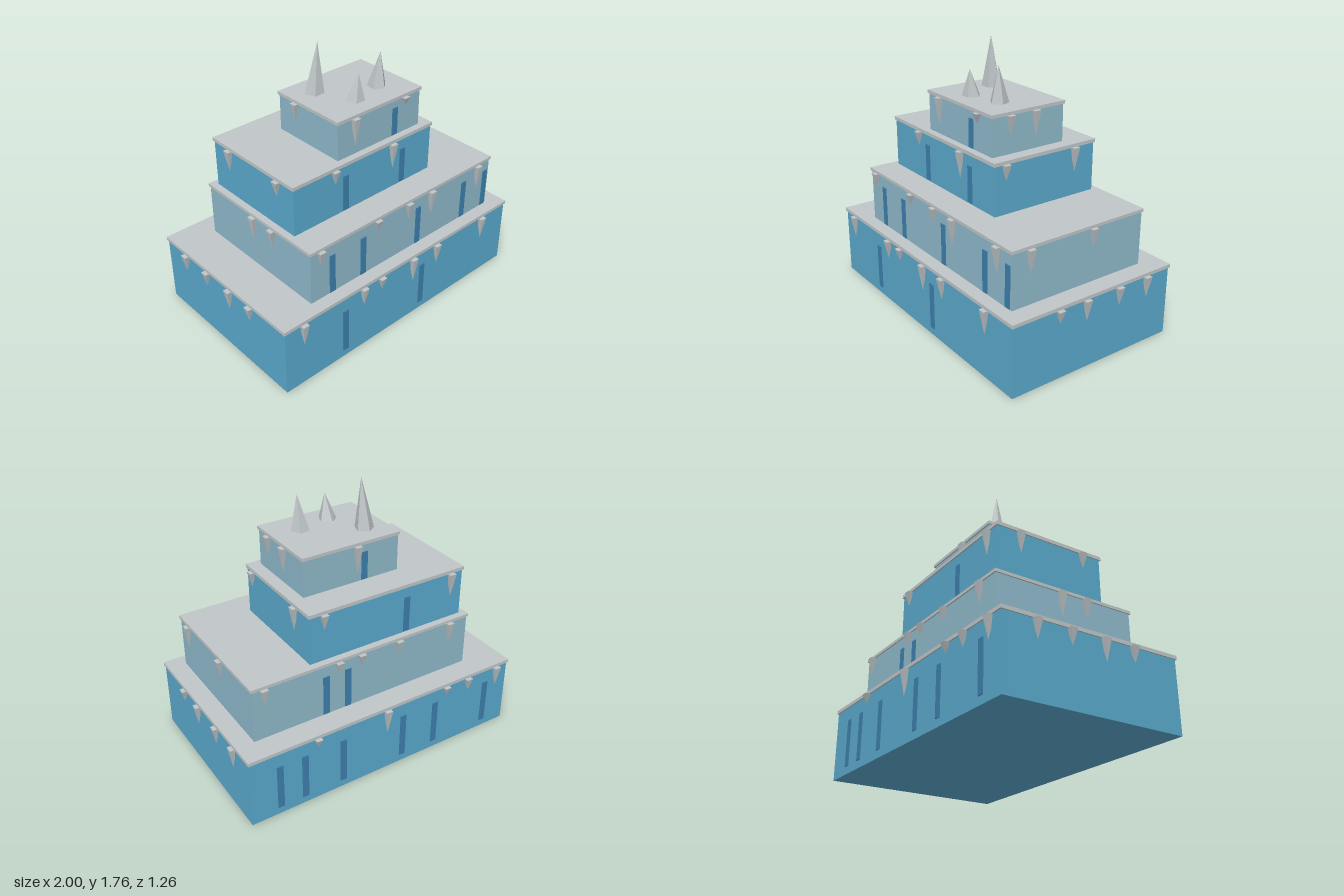
import * as THREE from 'three';

const mat = (name, color) => {
  const m = new THREE.MeshStandardMaterial({ color, flatShading: true });
  m.name = name;
  return m;
};

export function createModel() {
  const deepIce = mat('deep blue ice', 0x5aa9cc);
  const paleIce = mat('pale blue ice', 0x8fb9ca);
  const dark = mat('window blue', 0x3d80ad);
  const snow = mat('frost grey', 0xc0c6c8);

  const model = new THREE.Group();
  model.name = 'tieredIcePalace';

  const add = (parent, name, geo, material, x, y, z) => {
    const mesh = new THREE.Mesh(geo, material);
    mesh.name = name;
    mesh.position.set(x, y, z);
    parent.add(mesh);
    return mesh;
  };

  // Box from its minimum and maximum corners
  const block = (parent, name, material, x0, x1, y0, y1, z0, z1) =>
    add(parent, name, new THREE.BoxGeometry(x1 - x0, y1 - y0, z1 - z0), material,
      (x0 + x1) / 2, (y0 + y1) / 2, (z0 + z1) / 2);

  // Wall extents, window rows, and icicles as [position along edge, length]
  const tiers = [
    {
      x: [-0.97, 0.966], y: [0, 0.452, 0.475], z: [-0.596, 0.596], wall: deepIce,
      windowY: [0.05, 0.358],
      frontWindows: [-0.508, 0.15],
      backWindows: [0.77, 0.6, 0.33, -0.117, -0.37, -0.79],
      front: [[-0.837, 0.147], [-0.367, 0.125], [-0.217, 0.083], [0.06, 0.175], [0.276, 0.14], [0.72, 0.16]],
      back: [[-0.872, 0.14], [-0.63, 0.09], [-0.45, 0.06], [0.01, 0.17], [0.513, 0.06]],
      right: [[-0.38, 0.12], [-0.155, 0.1], [0.075, 0.14], [0.278, 0.1]],
      left: [[-0.406, 0.14], [-0.182, 0.117], [0.07, 0.135], [0.27, 0.084]],
    },
    {
      x: [-0.707, 0.853], y: [0.475, 0.822, 0.842], z: [-0.451, 0.517], wall: paleIce,
      windowY: [0.48, 0.748],
      frontWindows: [-0.543, -0.297, 0.174, 0.604, 0.818],
      backWindows: [0.36, 0.205],
      front: [[-0.635, 0.1], [-0.187, 0.075], [0.08, 0.107], [0.283, 0.17], [0.727, 0.17]],
      back: [[-0.56, 0.14], [-0.166, 0.1], [0.112, 0.08], [0.273, 0.09], [0.78, 0.12]],
      right: [[0, 0.16], [0.18, 0.12]],
      left: [[0.396, 0.154], [-0.06, 0.117]],
    },
    {
      x: [-0.67, 0.447], y: [0.842, 1.155, 1.178], z: [-0.414, 0.336], wall: deepIce,
      windowY: [0.85, 1.087],
      frontWindows: [-0.273, 0.198],
      backWindows: [-0.245],
      front: [[-0.362, 0.09], [0.107, 0.17]],
      back: [[-0.577, 0.16], [0.353, 0.1]],
      right: [[-0.257, 0.14], [0.2, 0.1]],
      left: [[0.262, 0.1], [-0.256, 0.155]],
    },
    {
      x: [-0.301, 0.372], y: [1.178, 1.416, 1.437], z: [-0.226, 0.298], wall: paleIce,
      windowY: [1.183, 1.366],
      frontWindows: [0.16],
      backWindows: [-0.055],
      front: [[-0.173, 0.18], [0.236, 0.06]],
      back: [[0, 0.18]],
      right: [[-0.07, 0.11]],
      left: [[0.175, 0.125], [-0.01, 0.16]],
    },
  ];

  tiers.forEach((t, i) => {
    const tier = new THREE.Group();
    tier.name = `tier${i + 1}`;
    model.add(tier);
    const [x0, x1] = t.x, [y0, y1, y2] = t.y, [z0, z1] = t.z;
    const lip = 0.008;
    block(tier, 'wall', t.wall, x0, x1, y0, y1, z0, z1);
    block(tier, 'frostSlab', snow, x0 - lip, x1 + lip, y1, y2, z0 - lip, z1 + lip);

    // Narrow windows on the long faces
    const [w0, w1] = t.windowY;
    for (const x of t.frontWindows) block(tier, 'frontWindow', dark, x - 0.021, x + 0.021, w0, w1, z1 - 0.002, z1 + 0.006);
    for (const x of t.backWindows) block(tier, 'backWindow', dark, x - 0.021, x + 0.021, w0, w1, z0 - 0.006, z0 + 0.002);

    // Four-sided icicles hanging along the slab edges
    const icicle = (x, z, len) => {
      const geo = new THREE.ConeGeometry(0.0318, len, 4).rotateX(Math.PI).rotateY(Math.PI / 4);
      add(tier, 'icicle', geo, snow, x, y1 - len / 2 + 0.001, z);
    };
    const out = lip + 0.003;
    for (const [x, len] of t.front) icicle(x, z1 + out, len);
    for (const [x, len] of t.back) icicle(x, z0 - out, len);
    for (const [z, len] of t.right) icicle(x0 - out, z, len);
    for (const [z, len] of t.left) icicle(x1 + out, z, len);
  });

  // Leaning five-sided crystals on the roof: base x, z, tip x, y, z, radius, turn
  const crystals = [
    [-0.154, -0.075, -0.137, 1.765, -0.06, 0.063, Math.PI],
    [0.186, 0.114, 0.198, 1.665, 0.127, 0.061, 0.1],
    [-0.037, 0.16, -0.027, 1.607, 0.177, 0.06, Math.PI],
  ];
  const roof = 1.436;
  for (const [bx, bz, tx, ty, tz, r, turn] of crystals) {
    const h = ty - roof;
    const geo = new THREE.ConeGeometry(r, h, 5).rotateY(turn).translate(0, h / 2, 0);
    // Shear the tip sideways
    geo.applyMatrix4(new THREE.Matrix4().set(
      1, (tx - bx) / h, 0, 0,
      0, 1, 0, 0,
      0, (tz - bz) / h, 1, 0,
      0, 0, 0, 1));
    add(model, 'roofCrystal', geo, snow, bx, roof, bz);
  }

  return model;
}
